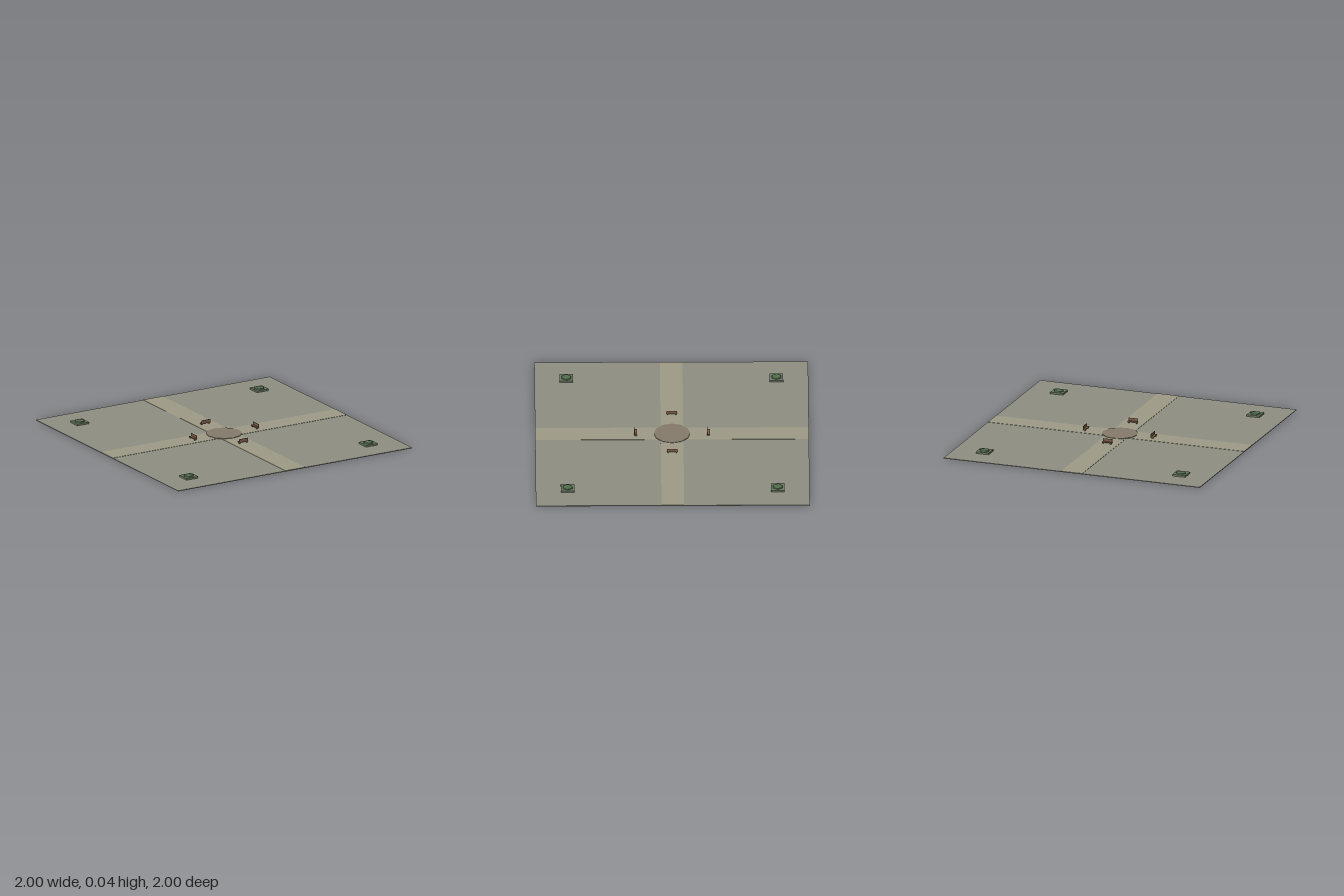
import * as THREE from 'three';

const mat = (color) => new THREE.MeshStandardMaterial({ color, flatShading: true });

export function createModel() {
  const root = new THREE.Group();
  root.name = 'plaza';
  const stone = mat(0x8f9082), gravel = mat(0x9e9c86), paving = mat(0x857c6c);
  const wood = mat(0x7d6048), tub = mat(0x6c7a66), leaf = mat(0x56704f);

  const add = (parent, name, geometry, material, x, y, z) => {
    const mesh = new THREE.Mesh(geometry, material);
    mesh.name = name;
    mesh.position.set(x, y, z);
    parent.add(mesh);
    return mesh;
  };
  // Box given by its size and the height of its underside
  const box = (parent, name, material, w, h, d, x, y, z) =>
    add(parent, name, new THREE.BoxGeometry(w, h, d), material, x, y + h / 2, z);

  // Ground slab, crossing paths and central disc
  box(root, 'ground', stone, 2, 0.005, 2, 0, 0, 0);
  box(root, 'pathAcross', gravel, 2, 0.005, 0.166, 0, 0.002, 0);
  box(root, 'pathAlong', gravel, 0.166, 0.0048, 2, 0, 0.002, 0);
  add(root, 'centreDisc', new THREE.CylinderGeometry(0.133, 0.133, 0.008, 12), paving, 0, 0.006, 0);

  // Benches around the disc; backs all on the +z or +x side
  for (const turned of [false, true]) {
    for (const side of [-1, 1]) {
      const bench = new THREE.Group();
      bench.name = 'bench';
      box(bench, 'seat', wood, 0.074, 0.006, 0.022, 0, 0.016, 0);
      box(bench, 'backrest', wood, 0.074, 0.022, 0.004, 0, 0.02, 0.009);
      for (const x of [-0.03, 0.03]) {
        box(bench, 'leg', wood, 0.006, 0.012, 0.016, x, 0.005, 0);
      }
      bench.rotation.y = turned ? Math.PI / 2 : 0;
      bench.position.set(turned ? side * 0.265 : 0, 0, turned ? 0 : side * 0.265);
      root.add(bench);
    }
  }

  // Square planters with six-sided shrubs in the corners
  for (const sx of [-1, 1]) {
    for (const sz of [-1, 1]) {
      const planter = new THREE.Group();
      planter.name = 'planter';
      box(planter, 'tub', tub, 0.1, 0.016, 0.1, 0, 0.002, 0);
      const shrub = add(planter, 'shrub', new THREE.CylinderGeometry(0.036, 0.04, 0.008, 6), leaf, 0, 0.02, 0);
      shrub.rotation.y = Math.PI / 6;
      planter.position.set(sx * 0.767, 0, sz * 0.767);
      root.add(planter);
    }
  }
  return root;
}
